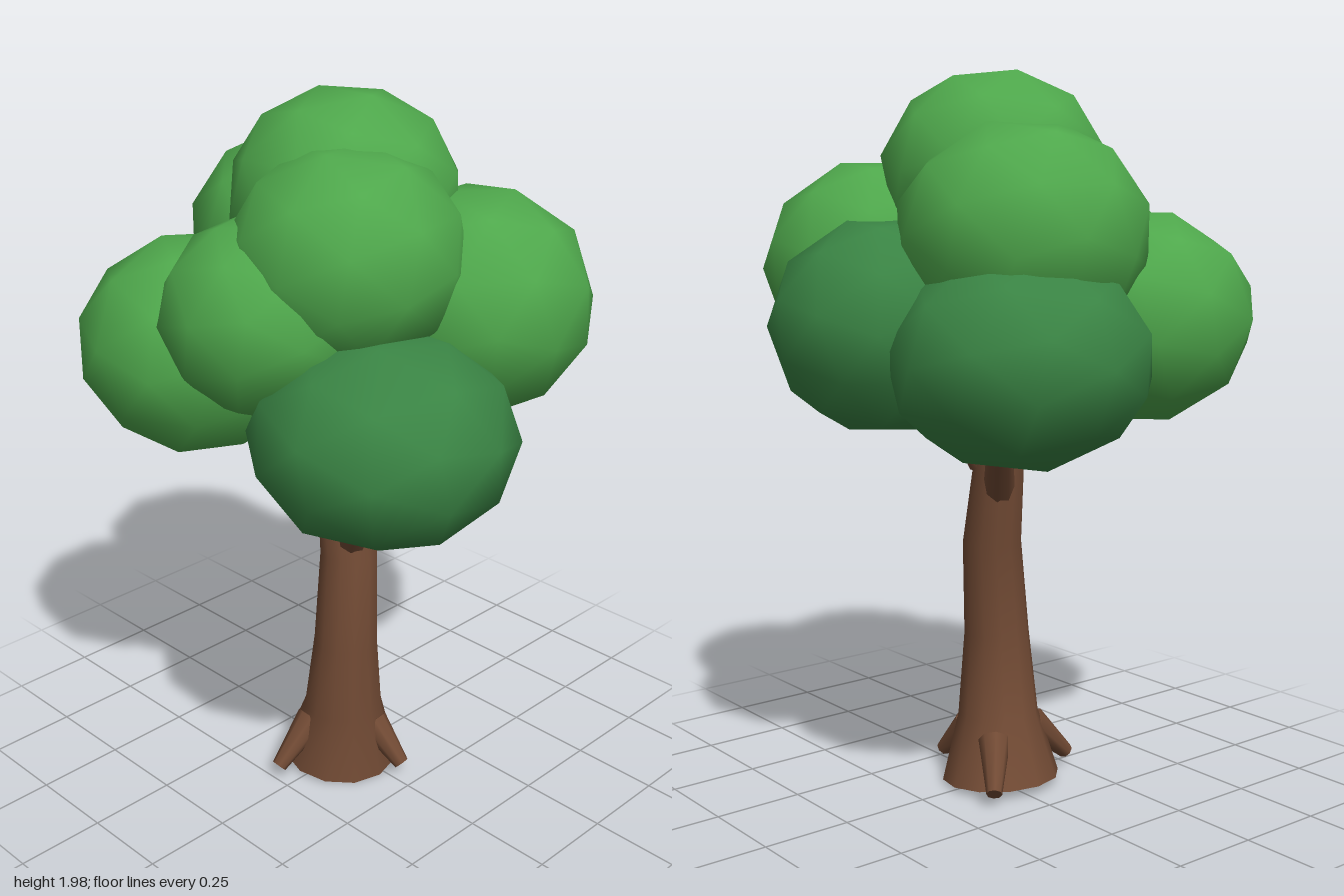
import * as THREE from 'three';
import { mergeVertices } from 'three/addons/utils/BufferGeometryUtils.js';

const material = (name, color) => Object.assign(new THREE.MeshStandardMaterial({ color }), { name });

// Tapered limb between two points
function limb(name, from, to, r0, r1, mat) {
  const a = new THREE.Vector3(...from), b = new THREE.Vector3(...to);
  const dir = b.clone().sub(a);
  const mesh = new THREE.Mesh(new THREE.CylinderGeometry(r1, r0, dir.length(), 8), mat);
  mesh.position.copy(a).add(b).multiplyScalar(0.5);
  mesh.quaternion.setFromUnitVectors(new THREE.Vector3(0, 1, 0), dir.normalize());
  mesh.name = name;
  return mesh;
}

// Bent trunk: a cylinder whose rings are moved to [x, y, z, radius]
function trunkGeometry(rings, sides) {
  const geo = new THREE.CylinderGeometry(1, 1, 1, sides, rings.length - 1);
  const p = geo.attributes.position;
  for (let i = 0; i < p.count; i++) {
    const k = Math.round((p.getY(i) + 0.5) * (rings.length - 1));
    const [x, y, z, r] = rings[k];
    const px = p.getX(i) * r, pz = p.getZ(i) * r;
    p.setXYZ(i, x + px, y - (k === 0 ? px * 0.08 : 0), z + pz);
  }
  geo.deleteAttribute('uv');
  geo.deleteAttribute('normal');
  // the caps keep their own vertices so the rim stays sharp
  const wallCount = (sides + 1) * rings.length;
  geo.computeVertexNormals();
  const n = geo.attributes.normal;
  for (let k = 0; k < rings.length; k++) {
    // match normals across the wall seam
    const a = k * (sides + 1), b = a + sides;
    const v = new THREE.Vector3().fromBufferAttribute(n, a)
      .add(new THREE.Vector3().fromBufferAttribute(n, b)).normalize();
    if (b < wallCount) { n.setXYZ(a, v.x, v.y, v.z); n.setXYZ(b, v.x, v.y, v.z); }
  }
  return geo;
}

export function createModel() {
  const tree = new THREE.Group();
  tree.name = 'tree';
  const bark = material('bark brown', 0x714a34);
  const light = material('light leaf green', 0x4fa84c);
  const dark = material('dark leaf green', 0x3a8444);

  // Trunk
  const trunk = new THREE.Mesh(trunkGeometry([
    [-0.012, 0.017, 0.02, 0.167],
    [0.012, 0.2, 0.03, 0.115],
    [0.034, 0.43, 0.042, 0.093],
    [0.015, 0.7, 0.01, 0.083],
    [-0.03, 0.95, 0, 0.07],
    [-0.06, 1.25, -0.02, 0.052],
  ], 12), bark);
  trunk.name = 'trunk';
  tree.add(trunk);

  // Branches
  tree.add(
    limb('branchFrontLeft', [0.045, 0.75, 0.03], [0.22, 1.0, 0.14], 0.045, 0.034, bark),
    limb('branchBackRight', [-0.04, 0.85, -0.01], [-0.17, 1.01, -0.11], 0.044, 0.035, bark),
    limb('branchBackLeft', [0.0, 0.93, -0.03], [0.07, 1.16, -0.13], 0.044, 0.035, bark),
  );

  // Roots
  tree.add(
    limb('rootFront', [-0.035, 0.16, 0.115], [-0.045, 0.045, 0.24], 0.045, 0.022, bark),
    limb('rootLeft', [0.095, 0.15, -0.01], [0.2, 0.045, -0.025], 0.045, 0.022, bark),
    limb('rootBackRight', [-0.07, 0.15, -0.05], [-0.175, 0.045, -0.135], 0.045, 0.022, bark),
  );

  // Foliage: [x, y, z, horizontal radius, vertical radius, material]
  const leaf = new THREE.IcosahedronGeometry(1, 1);
  leaf.deleteAttribute('uv');
  leaf.rotateX(Math.atan(0.618)); // one vertex up
  const leafBall = mergeVertices(leaf);
  [
    [-0.02, 1.72, -0.01, 0.31, 0.28, light],
    [0.275, 1.46, -0.19, 0.32, 0.305, light],
    [0.14, 1.62, 0.14, 0.31, 0.285, light],
    [0.01, 1.47, 0.29, 0.29, 0.265, light],
    [-0.25, 1.335, 0.3, 0.33, 0.295, light],
    [-0.235, 1.56, -0.09, 0.335, 0.3, light],
    [0.325, 1.205, 0.2, 0.347, 0.28, dark],
    [-0.32, 1.25, -0.17, 0.35, 0.285, dark],
    [0.05, 1.32, -0.325, 0.31, 0.29, dark],
  ].forEach(([x, y, z, r, h, mat], i) => {
    const ball = new THREE.Mesh(leafBall, mat);
    ball.name = `leafCluster${i + 1}`;
    ball.position.set(x, y, z);
    ball.scale.set(r, h, r);
    ball.rotation.y = i * 0.9;
    tree.add(ball);
  });
  return tree;
}
